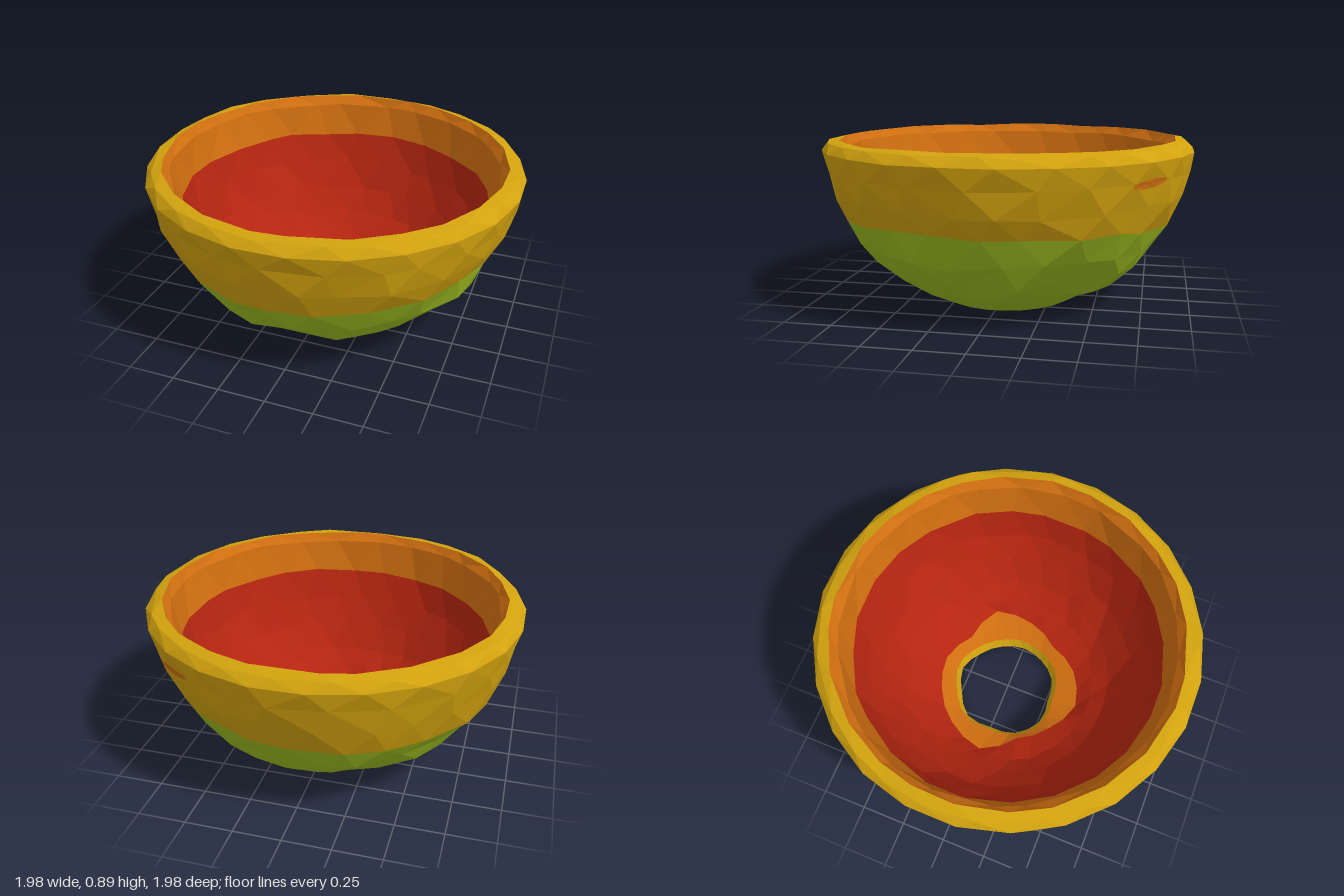
import * as THREE from 'three';

const SIDES = 24;

const mat = (name, color, extra = {}) =>
  Object.assign(new THREE.MeshStandardMaterial({ color, flatShading: true, ...extra }), { name });

// Small seeded generator, -1..1
function seeded(seed) {
  let s = seed;
  return () => {
    s = (s * 16807) % 2147483647;
    return (s / 2147483647) * 2 - 1;
  };
}

// Radius by angle from twelve values spaced 30 degrees apart
function radiusTable(values) {
  return (a) => {
    const t = ((((a / (Math.PI * 2)) % 1) + 1) % 1) * 12;
    const i = Math.floor(t);
    return THREE.MathUtils.lerp(values[i % 12], values[(i + 1) % 12], t - i);
  };
}

const hole = radiusTable([.26, .26, .27, .26, .30, .305, .285, .31, .285, .30, .265, .255]);
const floorEdge = radiusTable([.40, .35, .40, .43, .38, .36, .45, .42, .40, .40, .36, .46]);

// Closed section of the bowl: [radius, height, jitter]
const SECTION = [
  [hole, .012, 0],
  [.36, 0, 0],
  [.50, .07, .015],
  [.62, .145, .018],
  [.735, .235, .02],
  [.82, .34, .02],
  [.89, (a) => .45 + .045 * Math.max(0, Math.cos(a)), .01],
  [.945, .60, .015],
  [.978, .73, .006],
  [1.0, .83, .002],
  [.965, .873, .006],
  [.91, .885, .006],
  [.875, .84, .006],
  [.83, .66, .008],
  [.77, .50, .015],
  [.69, .36, .016],
  [.59, .235, .014],
  [.50, .16, .008],
  [floorEdge, .10, 0],
  [(a) => hole(a) + .025, .065, 0],
];

function makeRings() {
  const rnd = seeded(4271);
  const at = (v, a) => (typeof v === 'function' ? v(a) : v);
  return SECTION.map(([r, y, j], k) =>
    Array.from({ length: SIDES }, (_, i) => {
      const turn = i + (k % 2) * .5 + (j > .005 ? rnd() * .22 : 0);
      const a = (turn / SIDES) * Math.PI * 2;
      const radius = at(r, a) + rnd() * j * .7;
      return new THREE.Vector3(Math.cos(a) * radius, at(y, a) + rnd() * j, Math.sin(a) * radius);
    }));
}

// Triangulated skin between consecutive staggered rings
function skin(rings, from, to) {
  const pts = [];
  for (let k = from; k < to; k++) {
    const lo = rings[k], hi = rings[(k + 1) % rings.length];
    for (let i = 0; i < SIDES; i++) {
      const n = (i + 1) % SIDES;
      if (k % 2 === 0) pts.push(lo[i], hi[i], lo[n], lo[n], hi[i], hi[n]);
      else pts.push(lo[i], hi[i], hi[n], lo[i], hi[n], lo[n]);
    }
  }
  const geo = new THREE.BufferGeometry().setFromPoints(pts);
  geo.computeVertexNormals();
  return geo;
}

export function createModel() {
  const green = mat('green', 0x9cbc20);
  const yellow = mat('yellow', 0xd2a20e);
  const orange = mat('orange', 0xcf6e10);
  const red = mat('red', 0xb42510);

  const bowl = new THREE.Group();
  bowl.name = 'bowl';
  const rings = makeRings();
  const add = (name, geo, material) => {
    const mesh = new THREE.Mesh(geo, material);
    mesh.name = name;
    bowl.add(mesh);
  };

  // Outside, rim, inside and floor opening
  add('lowerShell', skin(rings, 0, 6), green);
  add('upperShellAndRim', skin(rings, 6, 11), yellow);
  add('innerWall', skin(rings, 11, 13), orange);
  add('innerLining', skin(rings, 13, 18), red);
  add('floorBand', skin(rings, 18, 19), orange);
  add('holeEdge', skin(rings, 19, 20), yellow);

  // Small spot on the outer wall, wrapped to its curve
  const spot = new THREE.CircleGeometry(1, 9);
  const p = spot.attributes.position;
  for (let i = 0; i < p.count; i++) {
    const a = -.93 - p.getX(i) * .13;
    const y = .73 + p.getY(i) * .022 + p.getX(i) * .008;
    const r = .978 + (y - .73) * .22 + .004;
    p.setXYZ(i, Math.cos(a) * r, y, Math.sin(a) * r);
  }
  spot.computeVertexNormals();
  add('outerSpot', spot, orange);

  return bowl;
}
